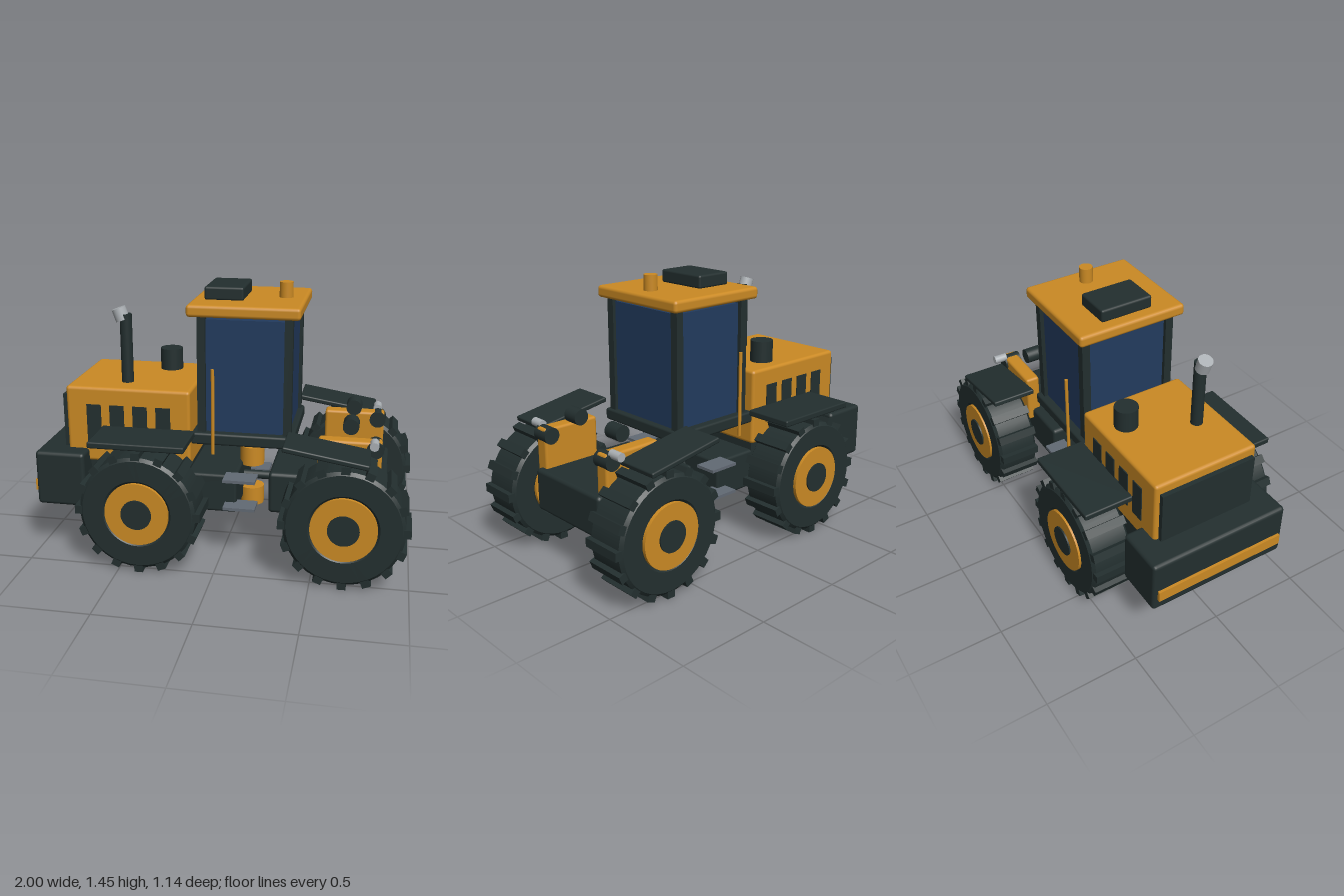
import * as THREE from 'three';
import { RoundedBoxGeometry } from 'three/addons/geometries/RoundedBoxGeometry.js';

const flat = (name, color) => Object.assign(new THREE.MeshStandardMaterial({ color }), { name });

export function createModel() {
  const yellow = flat('yellow paint', 0xcb8a24);
  const dark = flat('dark rubber and steel', 0x232f2f);
  const blue = flat('blue glass', 0x223b5e);
  const chrome = flat('bright metal', 0xabb0b4);
  const grey = flat('step grey', 0x626a74);

  const model = new THREE.Group();
  model.name = 'articulatedTractor';

  function add(name, geometry, material, x, y, z, parent = model) {
    const mesh = new THREE.Mesh(geometry, material);
    mesh.name = name;
    mesh.position.set(x, y, z);
    parent.add(mesh);
    return mesh;
  }
  // Box from its limits on each axis, with optional rounded edges
  function box(name, material, [x0, x1], [y0, y1], [z0, z1], r = 0) {
    const size = [x1 - x0, y1 - y0, z1 - z0];
    const g = r ? new RoundedBoxGeometry(...size, 2, r) : new THREE.BoxGeometry(...size);
    return add(name, g, material, (x0 + x1) / 2, (y0 + y1) / 2, (z0 + z1) / 2);
  }
  // Same box on both sides, given the inner and outer z
  function pair(name, material, xs, ys, [a, b], r = 0) {
    return [box(name, material, xs, ys, [a, b], r), box(name, material, xs, ys, [-b, -a], r)];
  }
  const upright = (r, h) => new THREE.CylinderGeometry(r, r, h, 24);
  const lying = (r, h, n = 32) => new THREE.CylinderGeometry(r, r, h, n).rotateX(Math.PI / 2);

  // Chassis halves and the joint between them
  box('frontChassis', dark, [-0.85, 0.08], [0.255, 0.467], [-0.27, 0.27], 0.015);
  box('engineCradle', dark, [-0.85, -0.18], [0.45, 0.52], [-0.27, 0.27]);
  box('rearChassis', dark, [0.25, 0.865], [0.265, 0.492], [-0.262, 0.262], 0.02);
  add('jointShaft', upright(0.024, 0.24).rotateZ(Math.PI / 2), dark, 0.165, 0.375, 0);
  add('upperJointPin', upright(0.066, 0.105), yellow, 0.125, 0.498, 0);
  add('lowerJointPin', upright(0.066, 0.1), yellow, 0.125, 0.265, 0);
  for (const y of [0.307, 0.462]) pair('step', grey, [0.02, 0.19], [y - 0.008, y + 0.008], [0.23, 0.347]);

  // Counterweight with painted bar
  box('counterweight', dark, [-0.985, -0.715], [0.28, 0.58], [-0.395, 0.395], 0.02);
  box('counterweightBar', yellow, [-1, -0.98], [0.35, 0.41], [-0.37, 0.37]);

  // Hood, grille and side vents
  box('hood', yellow, [-0.83, -0.16], [0.51, 0.922], [-0.295, 0.295], 0.018);
  box('grille', dark, [-0.855, -0.825], [0.46, 0.87], [-0.27, 0.27]);
  for (let i = 0; i < 4; i++) {
    const x = -0.679 + i * 0.125;
    pair('hoodVent', dark, [x - 0.039, x + 0.039], [0.62, 0.828], [0.292, 0.3]);
  }

  // Exhaust and air intake
  add('exhaustPipe', upright(0.032, 0.38), dark, -0.53, 1.1, 0.15);
  add('exhaustCap', upright(0.038, 0.066), chrome, -0.557, 1.288, 0.15).rotation.z = 0.35;
  add('airIntake', upright(0.062, 0.13), dark, -0.363, 0.975, -0.163);

  // Cab
  box('cabBase', dark, [-0.157, 0.38], [0.64, 0.703], [-0.295, 0.295], 0.012);
  box('cabGlass', blue, [-0.105, 0.348], [0.7, 1.297], [-0.248, 0.248]);
  for (const x of [-0.104, 0.344]) pair('cabPillar', dark, [x - 0.021, x + 0.021], [0.695, 1.325], [0.226, 0.27]);
  box('roof', yellow, [-0.175, 0.405], [1.315, 1.378], [-0.305, 0.305], 0.018);
  box('roofUnit', dark, [-0.11, 0.095], [1.375, 1.445], [-0.146, 0.146], 0.012);
  add('beacon', upright(0.036, 0.085), yellow, 0.297, 1.417, 0);

  for (const side of [1, -1]) {
    add('handrail', new THREE.CylinderGeometry(0.009, 0.009, 0.455, 10), yellow, -0.034, 0.828, side * 0.318);

    // Lift arms with their rollers and lamps
    const [a, b] = side > 0 ? [0.21, 0.29] : [-0.29, -0.21];
    box('liftArm', yellow, [0.505, 0.832], [0.42, 0.705], [a, b], 0.015);
    add('upperRoller', lying(0.042, 0.09), dark, 0.667, 0.755, side * 0.167);
    add('rearRoller', lying(0.044, 0.1), dark, 0.797, 0.665, side * 0.25);
    add('rearLamp', lying(0.023, 0.072, 16), chrome, 0.793, 0.706, side * 0.321);

    // Fenders
    box('frontFender', dark, [-0.635, -0.135], [0.68, 0.714], side > 0 ? [0.29, 0.56] : [-0.56, -0.29], 0.008);
    add('rearFender', new RoundedBoxGeometry(0.43, 0.028, 0.24, 2, 0.008), dark,
      0.565, 0.703, side * 0.44).rotation.z = -0.165;
  }

  // Tyre cross-section revolved about the wheel axis
  const tyreProfile = [[0.165, -0.1], [0.18, -0.115], [0.288, -0.115], [0.305, -0.1],
    [0.305, 0.1], [0.288, 0.115], [0.18, 0.115], [0.165, 0.1]].map(p => new THREE.Vector2(...p));
  // Each flat band keeps its own normals
  const bands = tyreProfile.slice(1).map((p, i) =>
    new THREE.LatheGeometry([tyreProfile[i], p], 40).rotateX(Math.PI / 2));
  const lugGeometry = new THREE.BoxGeometry(0.045, 0.042, 0.222);
  const rimGeometry = lying(0.168, 0.244, 40);
  const hubGeometry = lying(0.08, 0.26);

  for (const x of [-0.388, 0.665]) {
    add('axle', lying(0.075, 0.7), dark, x, 0.335, 0);
    add('differential', lying(0.115, 0.21), dark, x, 0.335, 0);
    for (const side of [1, -1]) {
      const wheel = new THREE.Group();
      wheel.name = 'wheel';
      wheel.position.set(x, 0.335, side * 0.44);
      model.add(wheel);
      for (const g of bands) add('tyre', g, dark, 0, 0, 0, wheel);
      add('rim', rimGeometry, yellow, 0, 0, 0, wheel);
      add('hub', hubGeometry, dark, 0, 0, 0, wheel);
      for (let i = 0; i < 16; i++) {
        const t = i / 16 * Math.PI * 2;
        const lug = add('treadLug', lugGeometry, dark, -Math.sin(t) * 0.309, Math.cos(t) * 0.309, 0, wheel);
        lug.rotation.z = t;
      }
    }
  }
  return model;
}
